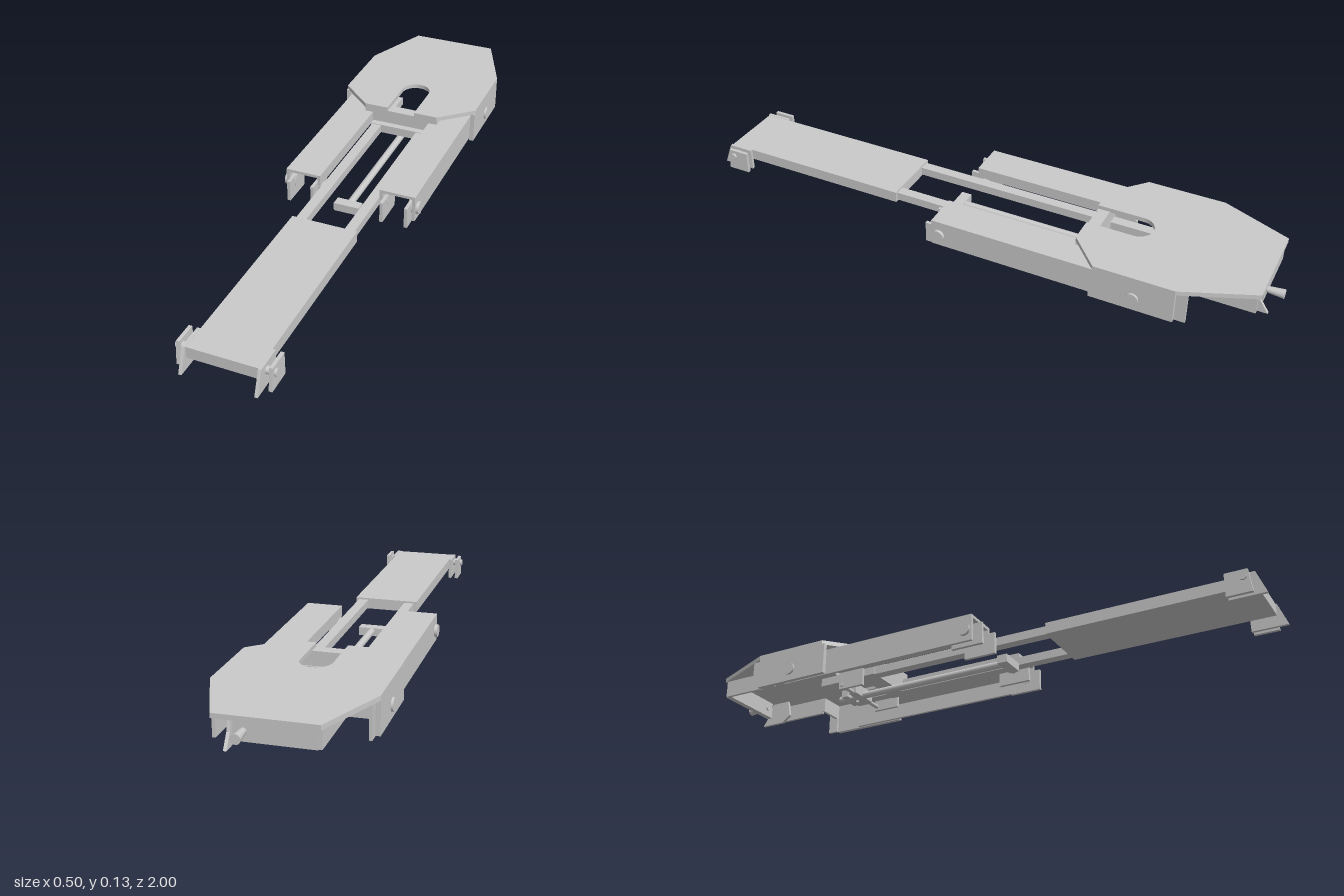
import * as THREE from 'three';

export function createModel() {
  const root = new THREE.Group();
  root.name = 'extendingOutriggerFrame';
  const grey = new THREE.MeshStandardMaterial({ color: 0xcacaca });
  grey.name = 'plain grey';

  const add = (name, geo) => {
    const m = new THREE.Mesh(geo, grey);
    m.name = name;
    root.add(m);
    return m;
  };
  // box given by its extents
  const box = (name, x0, x1, y0, y1, z0, z1) => {
    const m = add(name, new THREE.BoxGeometry(Math.abs(x1 - x0), y1 - y0, z1 - z0));
    m.position.set((x0 + x1) / 2, (y0 + y1) / 2, (z0 + z1) / 2);
  };
  // round pin lying along x
  const pinX = (name, x0, x1, y, z, r) => {
    const m = add(name, new THREE.CylinderGeometry(r, r, Math.abs(x1 - x0), 20));
    m.rotation.z = Math.PI / 2;
    m.position.set((x0 + x1) / 2, y, z);
  };
  // side profile of [z, y] points, given thickness along x
  const sidePlate = (name, pts, x0, x1) => {
    const shape = new THREE.Shape(pts.map(([z, y]) => new THREE.Vector2(-z, y)));
    const geo = new THREE.ExtrudeGeometry(shape, { depth: Math.abs(x1 - x0), bevelEnabled: false });
    geo.rotateY(Math.PI / 2);
    add(name, geo).position.x = Math.min(x0, x1);
  };

  // Eight-sided deck with a round-ended slot open to the front
  const deck = new THREE.Shape();
  deck.moveTo(-0.05, -0.36);
  for (const [x, z] of [[-0.135, -0.36], [-0.245, -0.46], [-0.245, -0.72], [-0.15, -0.95],
    [0.15, -0.95], [0.245, -0.72], [0.245, -0.46], [0.135, -0.36], [0.05, -0.36], [0.05, -0.515]]) deck.lineTo(x, z);
  deck.absarc(0, -0.515, 0.05, 0, -Math.PI, true);
  deck.closePath();
  const deckGeo = new THREE.ExtrudeGeometry(deck, { depth: 0.015, bevelEnabled: false, curveSegments: 10 });
  deckGeo.rotateX(Math.PI / 2);
  add('deck', deckGeo).position.y = 0.133;
  box('deckApron', -0.135, 0.135, 0.072, 0.12, -0.40, -0.36);

  // Rear lip, hook and towing pin
  box('rearLip', -0.14, 0.09, 0.06, 0.12, -0.945, -0.925);
  sidePlate('rearHook', [[-0.86, 0.118], [-0.93, 0.118], [-0.94, 0.08], [-0.968, 0.038], [-0.88, 0.038], [-0.85, 0.062]], 0.10, 0.11);
  const tow = add('towPin', new THREE.CylinderGeometry(0.015, 0.008, 0.08, 14));
  tow.rotation.x = -Math.PI / 2;
  tow.position.set(0.062, 0.09, -0.96);

  for (const s of [-1, 1]) {
    // Deck side walls, their pivots and the rear closing panels
    box('housingWall', s * 0.23, s * 0.245, 0.014, 0.12, -0.72, -0.45);
    sidePlate('housingWallTail', [[-0.72, 0.014], [-0.755, 0.014], [-0.755, 0.118], [-0.72, 0.118]], s * 0.222, s * 0.231);
    box('rearClosingPanel', s * 0.14, s * 0.23, 0.066, 0.12, -0.73, -0.72);
    box('rearSideWall', s * 0.14, s * 0.15, 0.06, 0.12, -0.94, -0.73);
    pinX('housingPivot', s * 0.225, s * 0.252, 0.056, -0.59, 0.021);

    // Side arm: thick beam with a hanging outer wall, hollow at the front end
    box('armTop', s * 0.105, s * 0.226, 0.094, 0.104, -0.62, 0.10);
    box('armCore', s * 0.105, s * 0.216, 0.066, 0.096, -0.47, 0.03);
    box('armOuterWall', s * 0.216, s * 0.226, 0.014, 0.096, -0.62, 0.10);
    box('armInnerLip', s * 0.105, s * 0.115, 0.066, 0.096, 0.03, 0.10);
    for (const x of [0.116, 0.2]) box('armLug', s * x, s * (x + 0.011), 0.003, 0.075, 0.02, 0.13);
    pinX('armPivot', s * 0.198, s * 0.236, 0.053, 0.075, 0.021);
    pinX('armPivotInner', s * 0.10, s * 0.128, 0.053, 0.075, 0.015);

    // Sliding rail
    box('slidingRail', s * 0.066, s * 0.10, 0.04, 0.068, -0.56, 0.31);

    // Feet and foot pin
    sidePlate('innerFoot', [[0.885, 0], [1, 0], [0.97, 0.075], [0.885, 0.075]], s * 0.11, s * 0.12);
    sidePlate('outerFoot', [[0.885, 0], [0.965, 0], [0.955, 0.075], [0.885, 0.075]], s * 0.135, s * 0.146);
    pinX('footPin', s * 0.105, s * 0.153, 0.052, 0.94, 0.012);

    box('crossBarHanger', s * 0.105, s * 0.115, 0.006, 0.07, -0.475, -0.38);
  }

  // Front leg
  box('frontLeg', -0.11, 0.11, 0.036, 0.074, 0.30, 0.967);

  // Central push rod with cross pieces
  const rod = add('pushRod', new THREE.CylinderGeometry(0.012, 0.012, 0.66, 16));
  rod.rotation.x = Math.PI / 2;
  rod.position.set(0, 0.022, -0.215);
  box('rodHead', -0.044, 0.044, 0.006, 0.034, 0.095, 0.13);
  box('railBridge', -0.105, 0.105, 0.04, 0.07, -0.40, -0.34);
  box('rodGuide', -0.05, 0.05, 0.015, 0.05, -0.48, -0.45);
  box('rodStop', -0.034, 0.034, 0.015, 0.04, -0.52, -0.495);
  pinX('crossBar', -0.12, 0.12, 0.02, -0.465, 0.007);
  return root;
}
